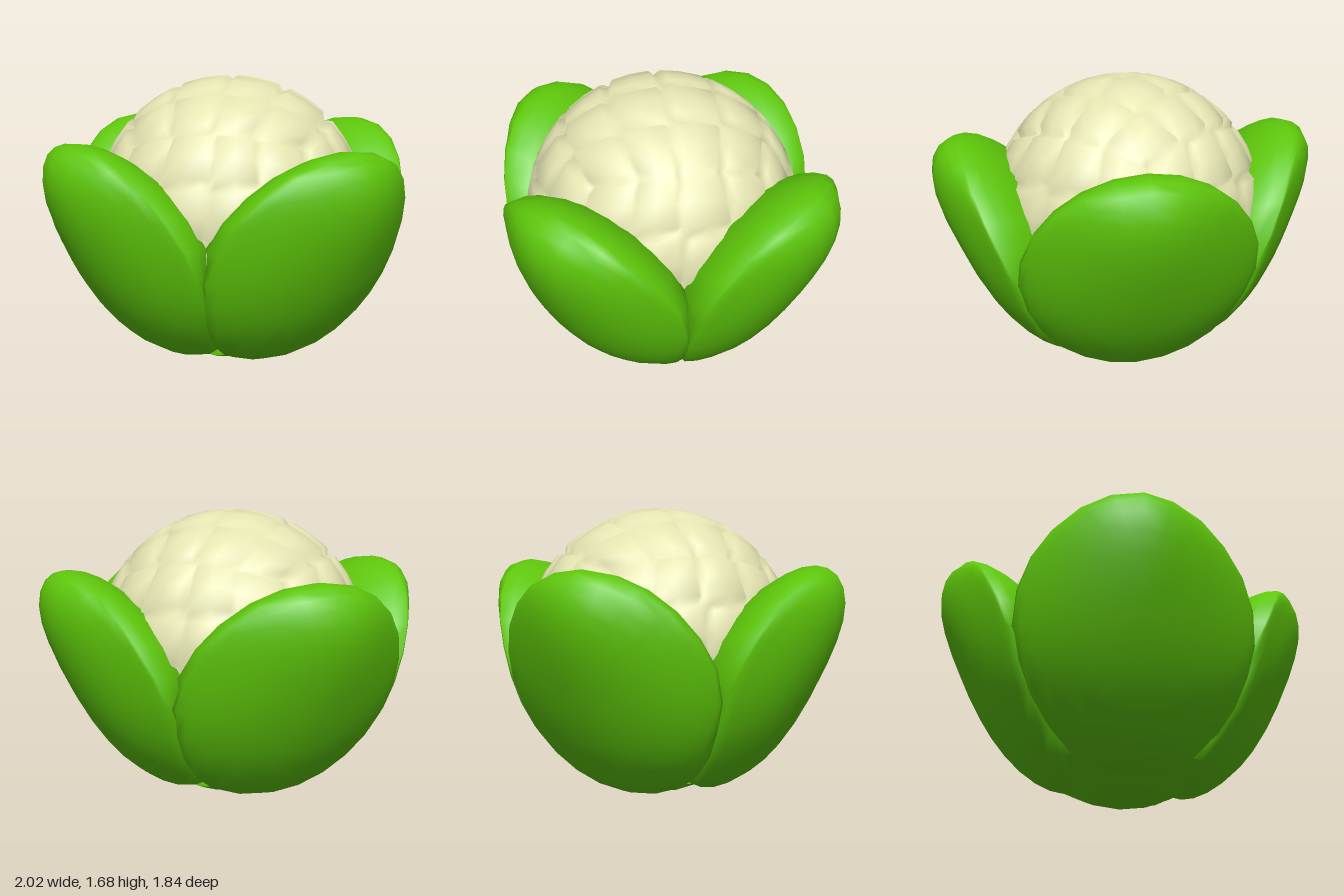
import * as THREE from 'three';
import { mergeVertices } from 'three/addons/utils/BufferGeometryUtils.js';

// Weld seams and recompute smooth normals
function smooth(geometry) {
  geometry.deleteAttribute('uv');
  geometry.deleteAttribute('normal');
  const g = mergeVertices(geometry, 1e-4);
  g.computeVertexNormals();
  return g;
}

// Move every vertex by a rule
function reshape(geometry, rule) {
  const pos = geometry.attributes.position;
  const v = new THREE.Vector3();
  for (let i = 0; i < pos.count; i++) {
    rule(v.fromBufferAttribute(pos, i));
    pos.setXYZ(i, v.x, v.y, v.z);
  }
  return smooth(geometry);
}

// Cube projected on a sphere, each face split into 4 x 4 raised florets
function headGeometry() {
  const fractions = [0, 0.13, 0.5, 0.87];
  return reshape(new THREE.BoxGeometry(2, 2, 2, 16, 16, 16), (v) => {
    let borders = 0;
    for (const axis of ['x', 'y', 'z']) {
      const i = Math.round((v[axis] + 1) * 8);
      if (i % 4 === 0) borders++;
      const cell = Math.floor(i / 4) + fractions[i % 4];
      v[axis] = Math.tan((cell - 2) * Math.PI / 8);
    }
    v.setLength(borders > 1 ? 0.764 : 0.797);
  });
}

// Fat ellipsoid leaning outward, its outer face flattened and its sides
// cut where it meets the next leaf: x across the leaf, y up, z outward
function leafGeometry() {
  const ball = new THREE.SphereGeometry(1, 24, 16).rotateX(Math.PI / 2);
  return reshape(ball, (v) => {
    const { x: a, y: b, z: c } = v;
    const out = Math.max(c, 0);
    const flatten = 0.045 * out ** 5 + (0.25 + 0.2 * b * (1 + b)) * a * a * out;
    const z = 0.645 + 0.305 * b + 0.371 * c - flatten;
    v.set(THREE.MathUtils.clamp(0.65 * a, -z, z), 0.72 + 0.65 * b, z);
  });
}

export function createModel() {
  const cream = new THREE.MeshStandardMaterial({ color: 0xe4e4b2 });
  cream.name = 'cream';
  const green = new THREE.MeshStandardMaterial({ color: 0x5ec60a, side: THREE.DoubleSide });
  green.name = 'leafGreen';

  const model = new THREE.Group();
  model.name = 'cauliflower';
  const add = (parent, name, geometry, material) => {
    const mesh = new THREE.Mesh(geometry, material);
    mesh.name = name;
    parent.add(mesh);
    return mesh;
  };

  // Head
  add(model, 'head', headGeometry(), cream).position.y = 0.885;

  // Four leaves on the diagonals, slightly wider than deep
  const leaves = new THREE.Group();
  leaves.name = 'leaves';
  leaves.scale.set(1.047, 1, 0.953);
  model.add(leaves);
  const leaf = leafGeometry();
  ['frontLeftLeaf', 'backLeftLeaf', 'backRightLeaf', 'frontRightLeaf'].forEach((name, i) => {
    add(leaves, name, leaf, green).rotation.y = Math.PI / 4 + i * Math.PI / 2;
  });

  // Shallow bowl under the leaves
  const profile = [[0, 0], [0.28, 0.055], [0.5, 0.16]].map(([r, y]) => new THREE.Vector2(r, y));
  add(model, 'base', smooth(new THREE.LatheGeometry(profile, 8)), green);

  return model;
}
